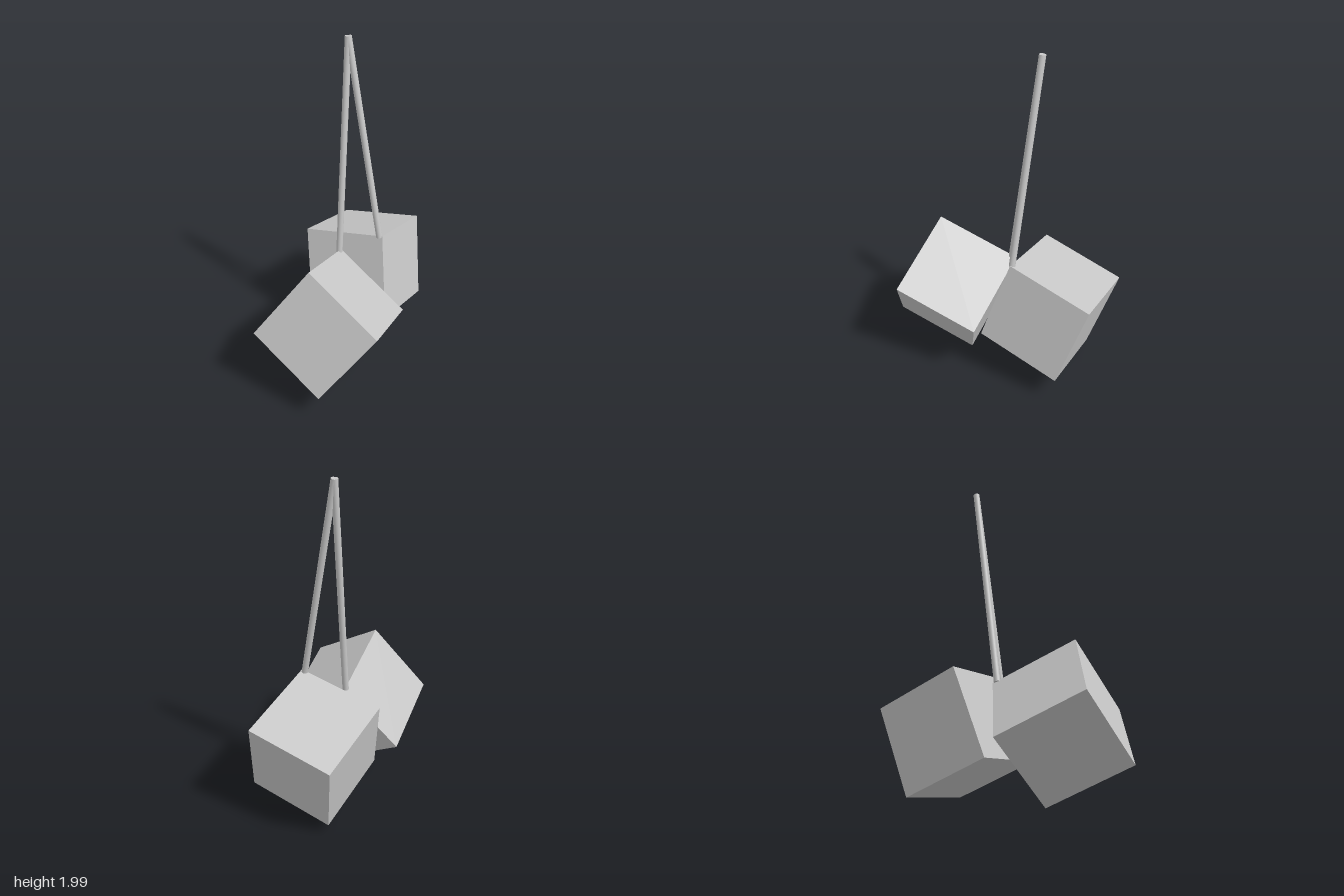
import * as THREE from 'three';

const vec = (p) => new THREE.Vector3(...p);

export function createModel() {
  const model = new THREE.Group();
  const grey = new THREE.MeshStandardMaterial({ color: 0xc8c8c8 });
  grey.name = 'light grey';

  // Tilted cube, oriented by two of its edge directions
  function addCube(name, centre, edgeX, edgeY) {
    const x = vec(edgeX).normalize();
    const z = x.clone().cross(vec(edgeY)).normalize();
    const y = z.clone().cross(x);
    const cube = new THREE.Mesh(new THREE.BoxGeometry(0.525, 0.525, 0.525), grey);
    cube.name = name;
    cube.quaternion.setFromRotationMatrix(new THREE.Matrix4().makeBasis(x, y, z));
    cube.position.set(...centre);
    model.add(cube);
  }

  // Straight round rod between two points
  function addRod(name, from, to) {
    const a = vec(from), b = vec(to);
    const dir = b.clone().sub(a);
    const rod = new THREE.Mesh(new THREE.CylinderGeometry(0.019, 0.019, dir.length(), 20), grey);
    rod.name = name;
    rod.quaternion.setFromUnitVectors(new THREE.Vector3(0, 1, 0), dir.normalize());
    rod.position.copy(a).add(b).multiplyScalar(0.5);
    model.add(rod);
  }

  // Two hanging cubes
  addCube('frontCube', [0, 0.437, 0.297], [0.435, -0.275, 0.1], [0.297, 0.415, -0.145]);
  addCube('backCube', [0, 0.444, -0.325], [0.51, 0.1, 0.055], [-0.085, 0.5, -0.155]);

  // Rods meeting at the shared pivot
  const pivot = [-0.07, 1.997, -0.2];
  addRod('frontRod', [-0.07, 0.695, -0.045], pivot);
  addRod('backRod', [0.155, 0.8, -0.13], pivot);

  return model;
}
